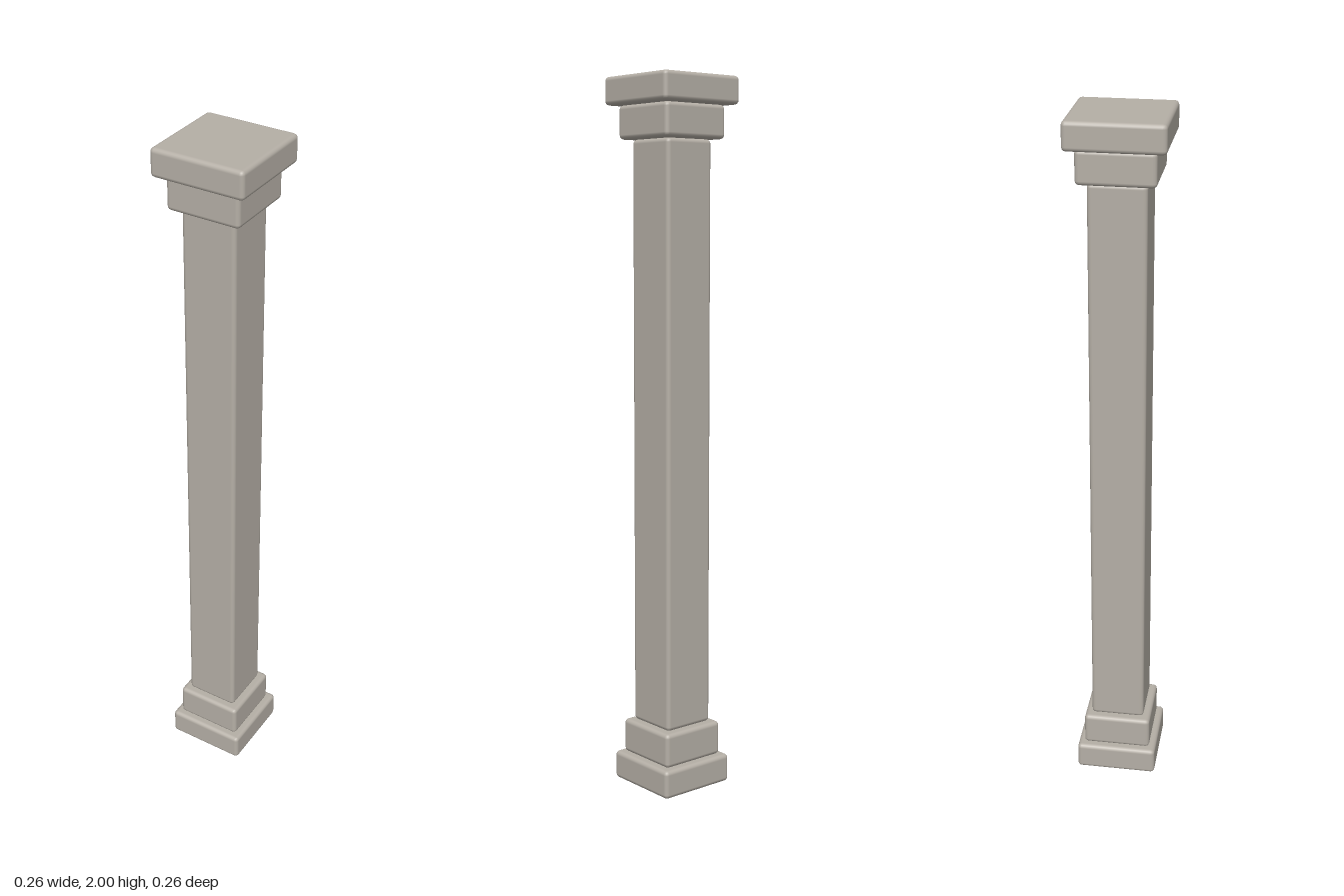
import * as THREE from 'three';
import { RoundedBoxGeometry } from 'three/addons/geometries/RoundedBoxGeometry.js';

export function createModel() {
  const column = new THREE.Group();
  column.name = 'squareColumn';

  const stone = new THREE.MeshStandardMaterial({ color: 0xb5afa6 });
  stone.name = 'warm grey stone';

  // Stacked square blocks: name, width, bottom, top
  const blocks = [
    ['basePlinth', 0.236, 0, 0.081],
    ['baseBlock', 0.198, 0.081, 0.179],
    ['shaft', 0.157, 0.179, 1.831],
    ['capitalBlock', 0.21, 1.831, 1.923],
    ['capitalSlab', 0.265, 1.923, 2],
  ];

  for (const [name, width, bottom, top] of blocks) {
    // Small rounded edges on every block
    const geometry = new RoundedBoxGeometry(width, top - bottom, width, 2, 0.012);
    const mesh = new THREE.Mesh(geometry, stone);
    mesh.name = name;
    mesh.position.y = (bottom + top) / 2;
    column.add(mesh);
  }

  return column;
}
